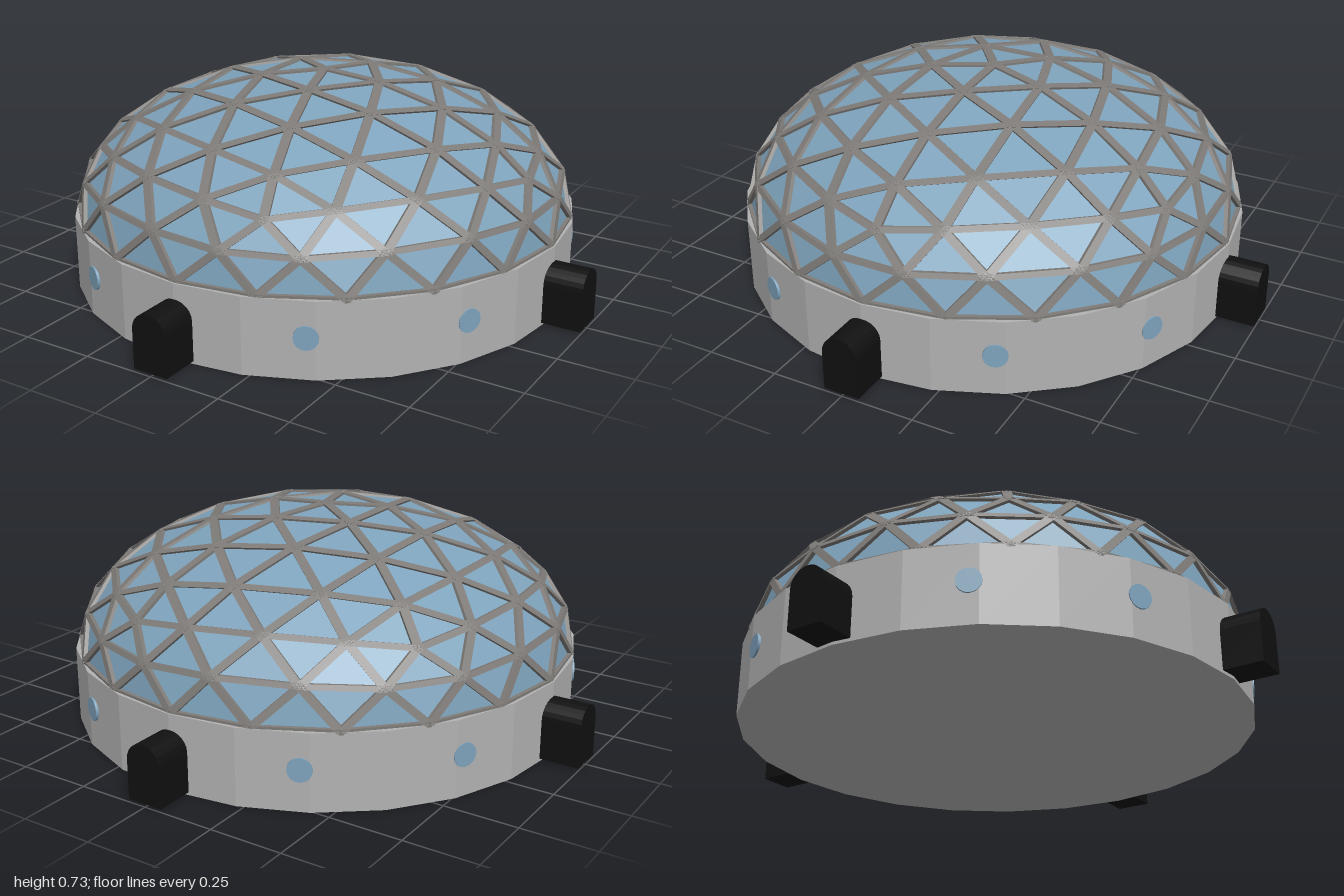
import * as THREE from 'three';
import { mergeGeometries } from 'three/addons/utils/BufferGeometryUtils.js';

const mat = (name, color) => {
  const m = new THREE.MeshStandardMaterial({ color });
  m.name = name;
  return m;
};

// Upper half of a geodesic sphere (unit radius, vertex at the pole), as loose triangles
function geodesicHalf() {
  const verts = [0, 1, 0];
  const faces = [];
  const r = 2 / Math.sqrt(5), h = 1 / Math.sqrt(5);
  for (let ring = 0; ring < 2; ring++) {
    for (let i = 0; i < 5; i++) {
      const a = (i + ring / 2) * Math.PI * 0.4;
      verts.push(r * Math.cos(a), ring ? -h : h, -r * Math.sin(a));
    }
  }
  for (let i = 0; i < 5; i++) {
    const u = 1 + i, u2 = 1 + (i + 1) % 5, l = 6 + i, l2 = 6 + (i + 1) % 5;
    faces.push(0, u, u2, u, l, u2, u2, l, l2);
  }
  const pos = new THREE.PolyhedronGeometry(verts, faces, 1, 3).attributes.position;
  const tris = [];
  for (let i = 0; i < pos.count; i += 3) {
    const t = [0, 1, 2].map(k => new THREE.Vector3().fromBufferAttribute(pos, i + k));
    if (t[0].y + t[1].y + t[2].y > 0.01) tris.push(t);
  }
  return tris;
}

// Bars along every unique triangle edge, facing outward
function strutGeometry(tris, width, depth, lift) {
  const seen = new Set(), bars = [];
  const key = v => v.toArray().map(n => Math.round(n * 1000) + 0).join();
  for (const t of tris) {
    for (let k = 0; k < 3; k++) {
      const a = t[k], b = t[(k + 1) % 3];
      const id = [key(a), key(b)].sort().join('|');
      if (seen.has(id)) continue;
      seen.add(id);
      const mid = a.clone().add(b).multiplyScalar(0.5);
      const along = b.clone().sub(a);
      const length = along.length();
      along.normalize();
      const out = mid.clone().normalize();
      const side = new THREE.Vector3().crossVectors(along, out);
      mid.addScaledVector(out, lift - depth / 2);
      bars.push(new THREE.BoxGeometry(length + 0.008, depth, width)
        .applyMatrix4(new THREE.Matrix4().makeBasis(along, out, side).setPosition(mid)));
    }
  }
  return mergeGeometries(bars);
}

export function createModel() {
  const model = new THREE.Group();
  model.name = 'domeHabitat';
  const wallGrey = mat('wallGrey', 0xb2b2b2);
  const glassBlue = mat('glassBlue', 0x7ea3bc);
  const strutGrey = mat('strutGrey', 0x7e7b78);
  const doorBlack = mat('doorBlack', 0x101010);
  const add = (parent, name, geometry, material) => {
    const mesh = new THREE.Mesh(geometry, material);
    mesh.name = name;
    parent.add(mesh);
    return mesh;
  };

  // Round base wall
  const baseHeight = 0.26;
  const wall = new THREE.CylinderGeometry(0.875, 0.875, baseHeight, 24).toNonIndexed();
  wall.computeVertexNormals();
  add(model, 'baseWall', wall, wallGrey).position.y = baseHeight / 2;

  // Flattened geodesic dome
  const dome = new THREE.Group();
  dome.name = 'dome';
  dome.position.y = baseHeight;
  dome.scale.set(0.857, 0.465, 0.857);
  model.add(dome);
  const tris = geodesicHalf();
  const glass = new THREE.BufferGeometry().setFromPoints(tris.flat());
  glass.computeVertexNormals();
  add(dome, 'glassPanels', glass, glassBlue);
  add(dome, 'struts', strutGeometry(tris, 0.036, 0.035, 0.014), strutGrey);

  // Arched entrance tunnels on four sides, with a pair of round windows beside each
  const arch = new THREE.Shape();
  arch.moveTo(-0.062, 0.01);
  arch.lineTo(0.062, 0.01);
  arch.lineTo(0.062, 0.145);
  arch.absarc(0, 0.145, 0.062, 0, Math.PI, false);
  arch.closePath();
  const tunnel = new THREE.ExtrudeGeometry(arch, { depth: 0.18, bevelEnabled: false, curveSegments: 6 });
  tunnel.translate(0, 0, 0.82);
  const pane = new THREE.CylinderGeometry(0.04, 0.04, 0.009, 16);
  pane.rotateX(Math.PI / 2).translate(0, 0.14, 0.8725);
  for (let i = 0; i < 4; i++) {
    const turn = i * Math.PI / 2;
    add(model, 'entrance', tunnel, doorBlack).rotation.y = turn;
    for (const s of [-1, 1]) {
      add(model, 'window', pane, glassBlue).rotation.y = turn + s * THREE.MathUtils.degToRad(28);
    }
  }
  return model;
}
